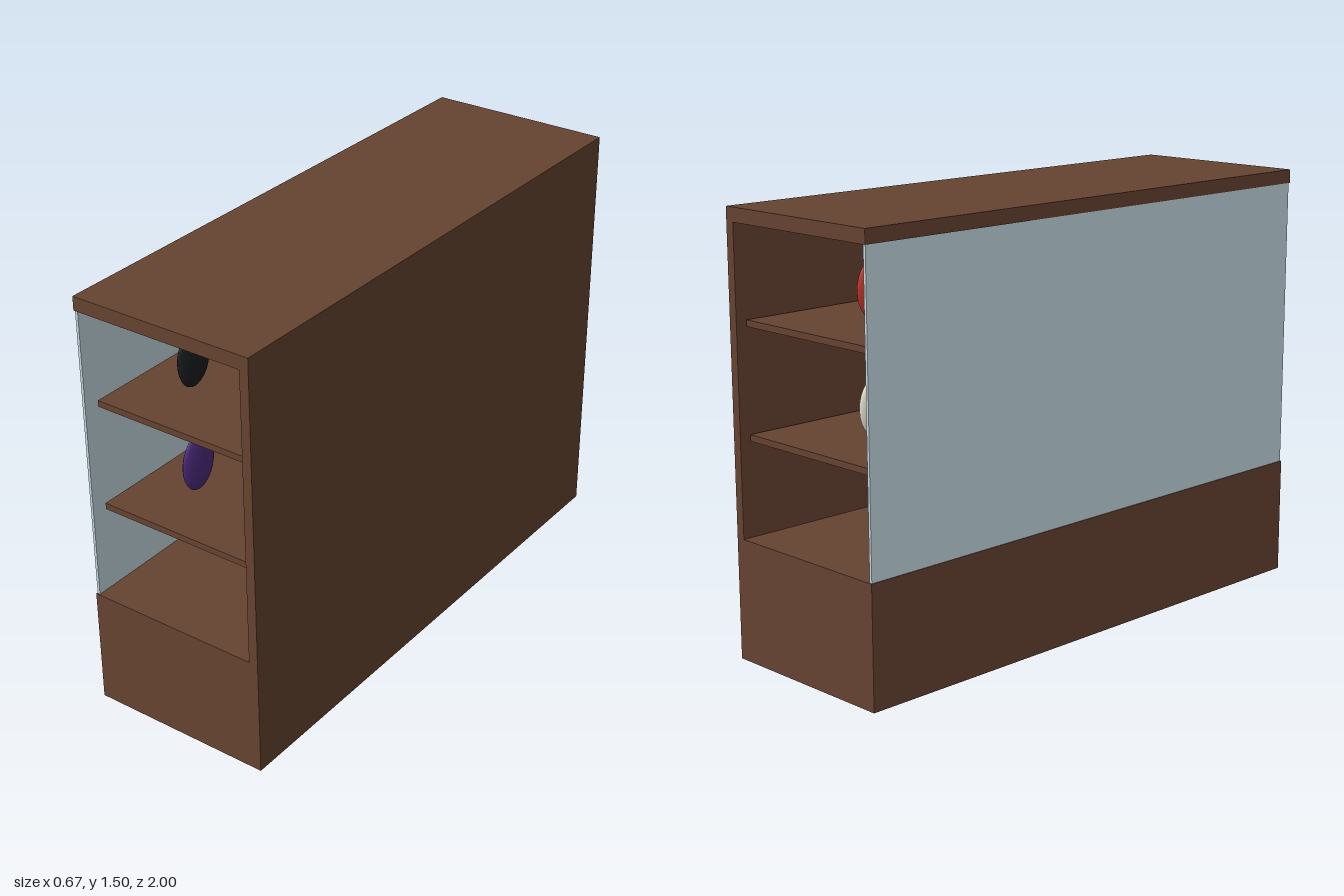
import * as THREE from 'three';

const WOOD = 0x654230;
const mat = (color) => new THREE.MeshStandardMaterial({ color });

export function createModel() {
  const group = new THREE.Group();
  group.name = 'displayCase';
  const wood = mat(WOOD);
  const glass = mat(0xc2d6de);

  // Box given by its x and y limits and its length along z
  const slab = (name, x0, x1, y0, y1, length, material) => {
    const mesh = new THREE.Mesh(new THREE.BoxGeometry(x1 - x0, y1 - y0, length), material);
    mesh.name = name;
    mesh.position.set((x0 + x1) / 2, (y0 + y1) / 2, 0);
    group.add(mesh);
  };

  // Carcass: solid base, tall back panel, top board and glass pane
  slab('base', -0.333, 0.333, 0, 0.417, 2, wood);
  slab('backPanel', 0.3, 0.333, 0.417, 1.452, 2, wood);
  slab('topBoard', -0.333, 0.333, 1.452, 1.5, 2, wood);
  slab('glassPane', -0.33, -0.32, 0.417, 1.452, 1.993, glass);

  // Shelves, each carrying a row of upright oval discs
  const rows = [
    { y: 0.753, colors: [0xe8e4d4, 0x2e7d4f, 0xd08a2c, 0x4b2a7a] },
    { y: 1.128, colors: [0xc0352b, 0x2a4f9a, 0xd4af37, 0x1a1c1e] },
  ];
  const oval = new THREE.SphereGeometry(1, 20, 14);
  oval.scale(0.0167, 0.1, 0.075);
  rows.forEach(({ y, colors }) => {
    slab('shelf', -0.293, 0.291, y - 0.011, y + 0.011, 1.933, wood);
    colors.forEach((color, i) => {
      const disc = new THREE.Mesh(oval, mat(color));
      disc.name = 'displayOval';
      disc.position.set(-0.085, y + 0.132, -0.75 + i * 0.5);
      group.add(disc);
    });
  });

  return group;
}
